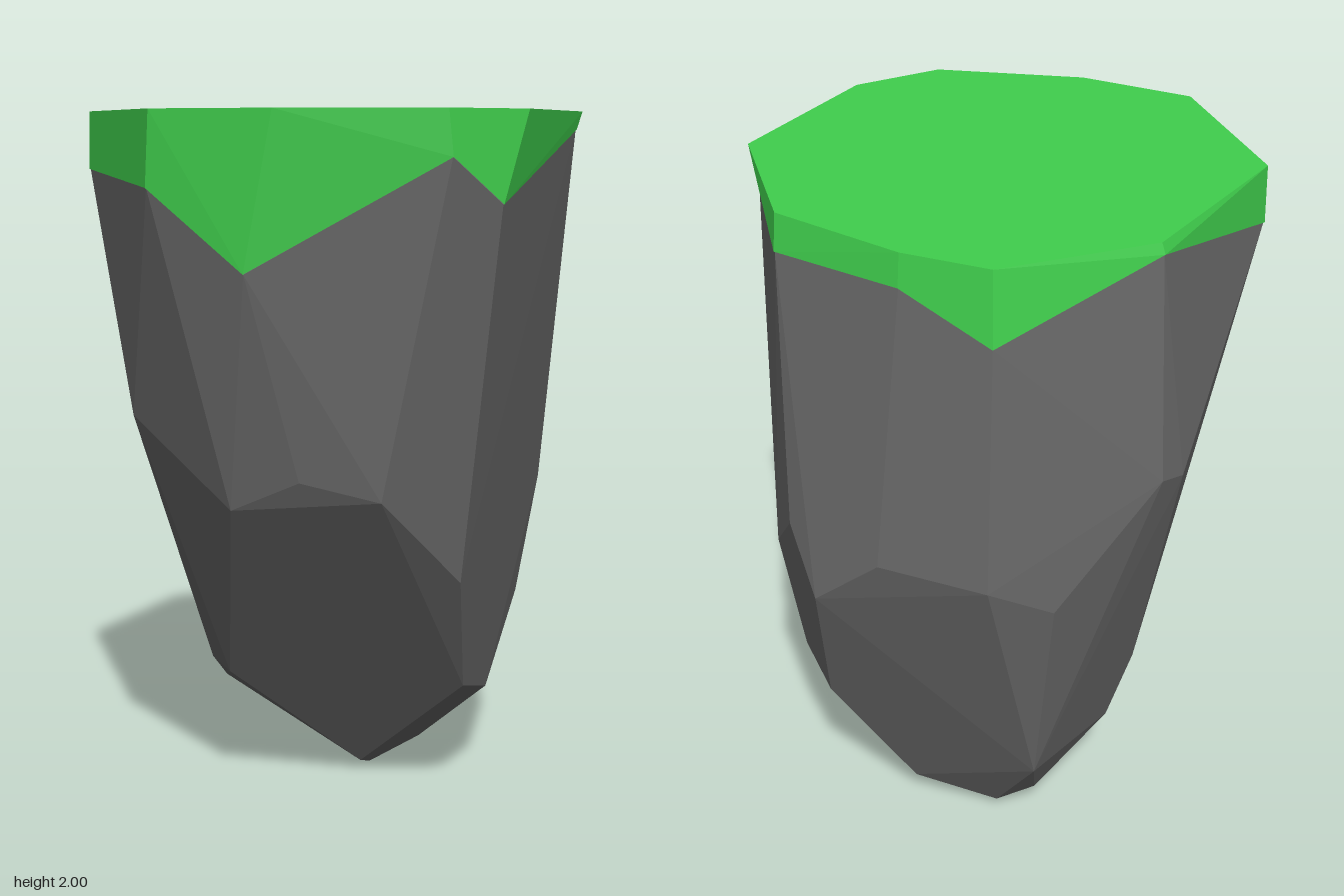
import * as THREE from 'three';
import { ConvexGeometry } from 'three/addons/geometries/ConvexGeometry.js';

const V = (p) => new THREE.Vector3(...p);

// Flat top outline (x, z), running from the front round by +x
const rim = [
  [-0.25, 0.69], [0.09, 0.685], [0.50, 0.54], [0.64, 0.31], [0.645, -0.22],
  [0.32, -0.56], [-0.07, -0.61], [-0.31, -0.585], [-0.59, -0.26], [-0.635, 0.31],
];

// Ragged lower edge of the grass, one point below each rim point
const fringe = [
  [-0.27, 1.80, 0.675], [0, 1.585, 0.67], [0.51, 1.88, 0.53], [0.60, 1.76, 0.39], [0.635, 1.95, -0.20],
  [0.32, 1.90, -0.575], [-0.07, 1.91, -0.62], [-0.32, 1.80, -0.605], [-0.60, 1.97, -0.26], [-0.64, 1.84, 0.31],
];

// Corners of the chiselled rock, by level
const shoulder = [
  [-0.10, 0.94, 0.55], [0.10, 1.03, 0.55], [0.31, 0.98, 0.49], [0.455, 0.72, 0.25], [0.48, 0.90, -0.45],
  [0.29, 1.13, -0.64], [0.19, 0.94, -0.685], [-0.02, 1.12, -0.69], [-0.32, 1.10, -0.635],
  [-0.44, 0.99, -0.49], [-0.65, 1.31, -0.17], [-0.635, 1.34, -0.27], [-0.46, 1.16, 0.42],
];
const foot = [
  [-0.27, 0.37, 0.21], [0.40, 0.355, 0.04], [0.39, 0.275, -0.22], [0.42, 0.53, -0.43],
  [0.27, 0.48, -0.53], [-0.33, 0.30, -0.38], [-0.39, 0.28, -0.02], [-0.35, 0.395, 0.16], [-0.46, 0.52, 0],
];
const tip = [
  [0.03, 0.03, -0.09], [0.15, 0.06, -0.29], [0.09, 0.09, -0.36],
  [-0.15, 0.03, -0.28], [-0.26, 0.10, -0.24], [0.03, 0, -0.17],
];

// Top cap plus skirt; each skirt quad is split along its outward diagonal
function grassGeometry() {
  const out = new THREE.Vector3(1.005, 1, 1.005);
  const top = rim.map(([x, z]) => V([x, 2, z]).multiply(out));
  const low = fringe.map((p) => V(p).multiply(out));
  const centre = V([0, 2, 0]);
  const points = [];
  top.forEach((t, i) => {
    const j = (i + 1) % top.length;
    const plane = new THREE.Plane().setFromCoplanarPoints(low[i], low[j], top[j]);
    points.push(centre, t, top[j]);
    if (plane.distanceToPoint(t) <= 0) {
      points.push(low[i], low[j], top[j], low[i], top[j], t);
    } else {
      points.push(low[i], low[j], t, low[j], top[j], t);
    }
  });
  const geometry = new THREE.BufferGeometry().setFromPoints(points);
  geometry.computeVertexNormals();
  return geometry;
}

export function createModel() {
  const group = new THREE.Group();
  group.name = 'floatingRock';

  // Tapering rock body
  const rock = new THREE.Mesh(
    new ConvexGeometry([...fringe, ...shoulder, ...foot, ...tip].map(V)),
    new THREE.MeshStandardMaterial({ color: 0x6a6a6a, flatShading: true }),
  );
  rock.name = 'rock';

  // Grass cover
  const grass = new THREE.Mesh(
    grassGeometry(),
    new THREE.MeshStandardMaterial({ color: 0x40cf4d, flatShading: true, side: THREE.DoubleSide }),
  );
  grass.name = 'grass';

  group.add(rock, grass);
  return group;
}
